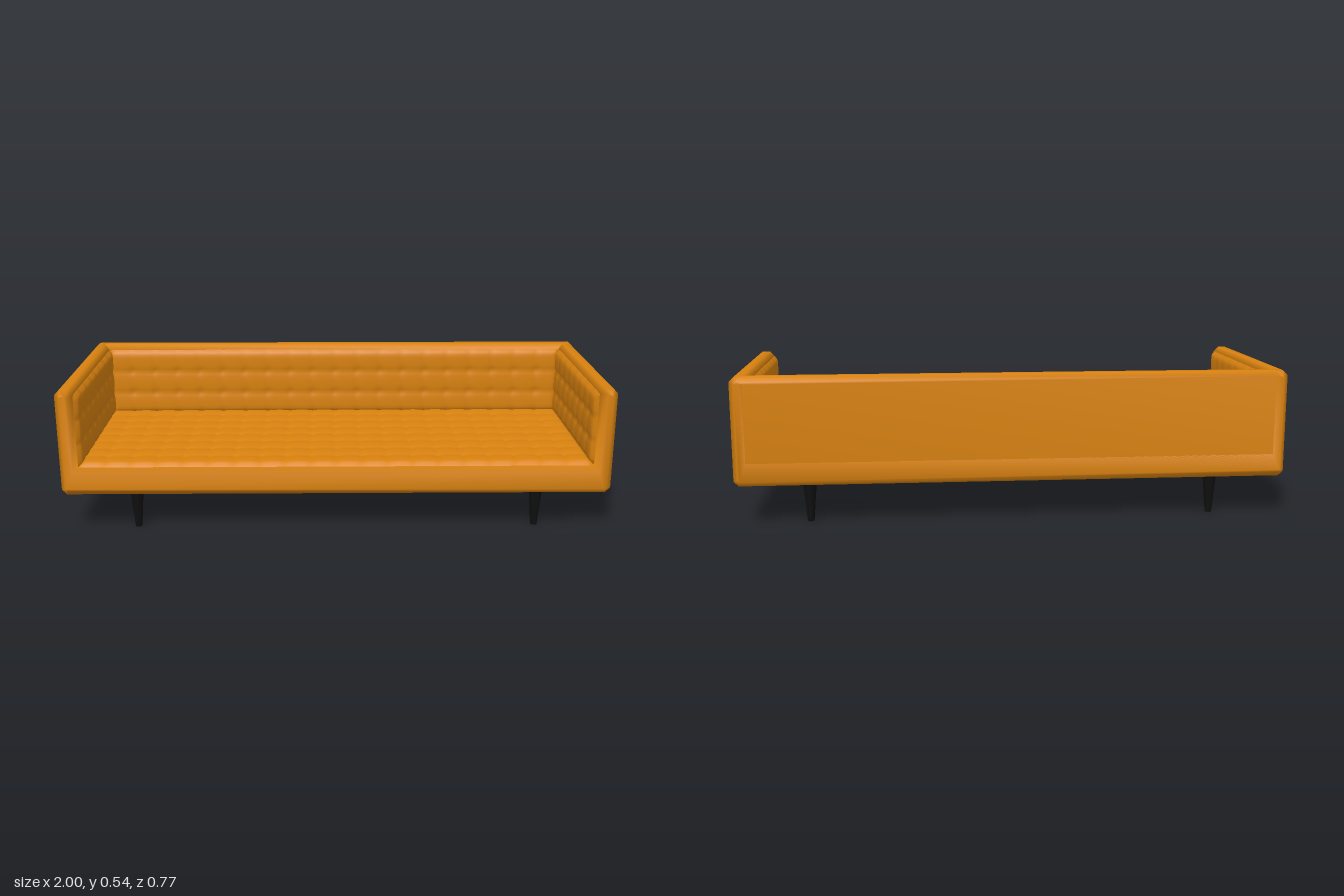
import * as THREE from 'three';
import { mergeVertices } from 'three/addons/utils/BufferGeometryUtils.js';

const leather = new THREE.MeshStandardMaterial({ color: 0xd9820f });
const black = new THREE.MeshStandardMaterial({ color: 0x0f0f0f });

const BOTTOM = 0.147, TOP = 0.54, HALF_DEPTH = 0.385;
const CHAMFER = 0.018;
const INNER_X = 0.935, SEAT_Y = 0.25, BACK_Z = -0.315;

// Upright slab cut from an outline, chamfered all round and softly shaded
function slab(name, outline, z0, z1) {
  const shape = new THREE.Shape(outline.map(([x, y]) => new THREE.Vector2(x, y)));
  let geo = new THREE.ExtrudeGeometry(shape, {
    depth: z1 - z0 - 2 * CHAMFER, bevelEnabled: true, bevelSegments: 1,
    bevelSize: CHAMFER, bevelThickness: CHAMFER, bevelOffset: -CHAMFER,
  });
  geo.deleteAttribute('uv');
  geo.deleteAttribute('normal');
  geo = mergeVertices(geo, 1e-4);
  geo.computeVertexNormals();
  geo.translate(0, 0, z0 + CHAMFER);
  const mesh = new THREE.Mesh(geo, leather);
  mesh.name = name;
  return mesh;
}

// Padded panel: puffed cells divided by seams, pulled in at the border
function tuftedPanel(name, width, height, columns, rows) {
  const geo = new THREE.PlaneGeometry(width, height, columns * 8, rows * 8);
  const pos = geo.attributes.position;
  for (let i = 0; i < pos.count; i++) {
    const x = pos.getX(i), y = pos.getY(i);
    const u = (x / width + 0.5) * columns, v = (y / height + 0.5) * rows;
    const su = Math.abs(Math.sin(Math.PI * u)), sv = Math.abs(Math.sin(Math.PI * v));
    const border = Math.max(0, Math.min(width / 2 - Math.abs(x), height / 2 - Math.abs(y)));
    const t = Math.min(1, border / 0.025);
    const edge = Math.sqrt(1 - (1 - t) * (1 - t));
    // deepest at the buttons where seams cross
    const puff = 0.011 + 0.004 * Math.sqrt(sv) + 0.003 * Math.sqrt(su)
      - 0.004 * Math.exp(-(su * su + sv * sv) * 5);
    pos.setZ(i, -0.001 + puff * edge);
  }
  geo.computeVertexNormals();
  const mesh = new THREE.Mesh(geo, leather);
  mesh.name = name;
  return mesh;
}

export function createModel() {
  const sofa = new THREE.Group();
  sofa.name = 'sofa';
  const c = CHAMFER;

  // Base and both arms as one U-shaped front outline
  const half = [
    [1 - c, BOTTOM], [1, BOTTOM + c], [1, TOP - c], [1 - c, TOP],
    [INNER_X + c, TOP], [INNER_X, TOP - c], [INNER_X, SEAT_Y],
  ];
  const mirrored = half.map(([x, y]) => [-x, y]).reverse();
  sofa.add(slab('baseAndArms', [...half, ...mirrored], -HALF_DEPTH, HALF_DEPTH));

  // Backrest
  const backHalf = half.slice(0, 4);
  const backMirrored = backHalf.map(([x, y]) => [-x, y]).reverse();
  sofa.add(slab('backrest', [...backHalf, ...backMirrored], -HALF_DEPTH, BACK_Z));

  // Tufted upholstery
  const panelDepth = HALF_DEPTH - c - BACK_Z;
  const panelHeight = TOP - c - SEAT_Y;
  const midZ = BACK_Z + panelDepth / 2, midY = SEAT_Y + panelHeight / 2;

  const seat = tuftedPanel('seatCushion', 2 * INNER_X, panelDepth, 20, 8);
  seat.rotation.x = -Math.PI / 2;
  seat.position.set(0, SEAT_Y, midZ);
  sofa.add(seat);

  const back = tuftedPanel('backCushion', 2 * INNER_X, panelHeight, 20, 3);
  back.position.set(0, midY, BACK_Z);
  sofa.add(back);

  for (const side of [1, -1]) {
    const arm = tuftedPanel(side > 0 ? 'leftArmCushion' : 'rightArmCushion', panelDepth, panelHeight, 8, 3);
    arm.rotation.y = -side * Math.PI / 2;
    arm.position.set(side * INNER_X, midY, midZ);
    sofa.add(arm);
  }

  // Tapered legs
  const legGeo = new THREE.CylinderGeometry(0.025, 0.012, BOTTOM + 0.002, 20);
  for (const x of [1, -1]) {
    for (const z of [1, -1]) {
      const leg = new THREE.Mesh(legGeo, black);
      leg.name = (z > 0 ? 'front' : 'back') + (x > 0 ? 'Left' : 'Right') + 'Leg';
      leg.position.set(x * 0.738, (BOTTOM + 0.002) / 2, z * 0.312);
      sofa.add(leg);
    }
  }
  return sofa;
}
